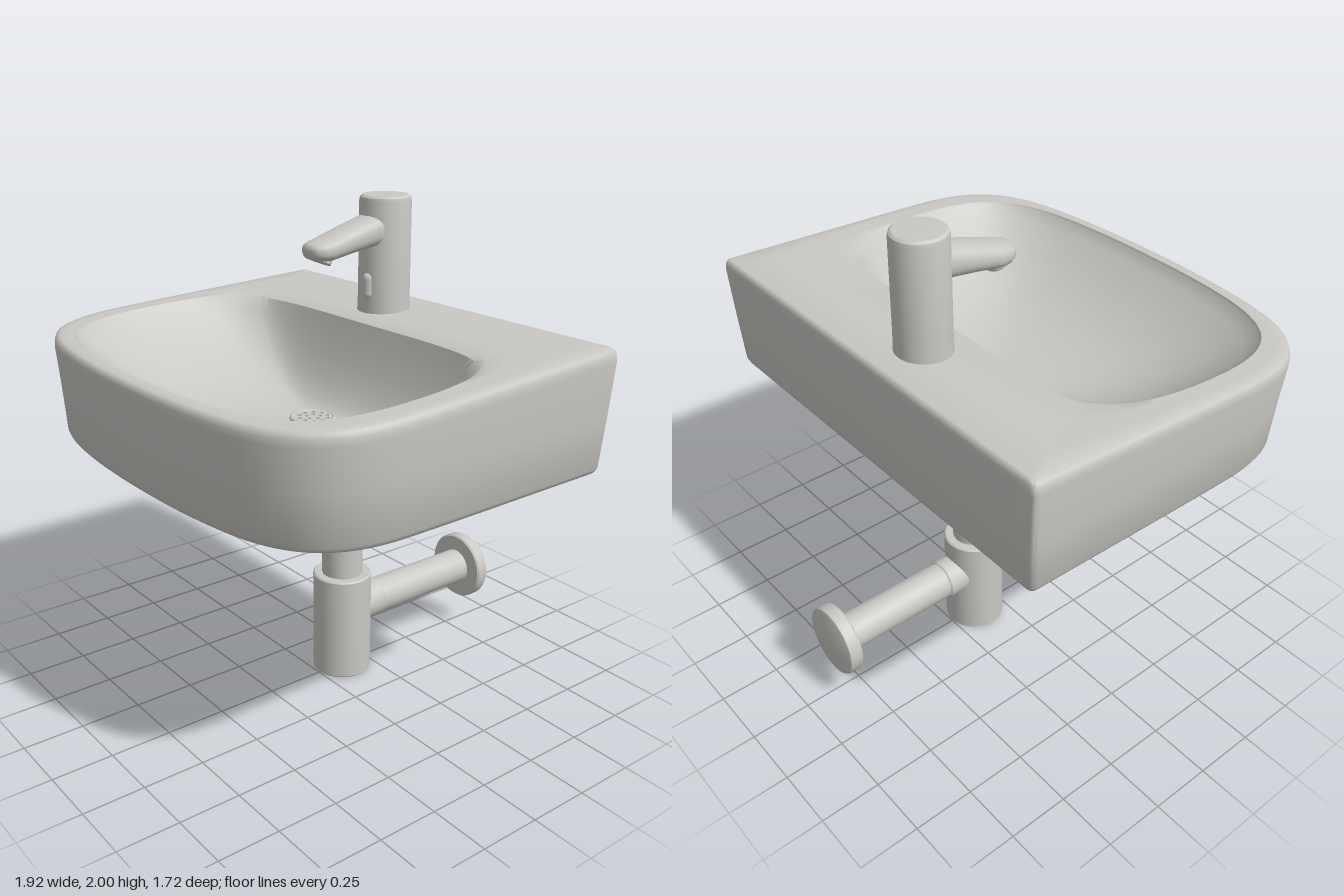
import * as THREE from 'three';
import { toCreasedNormals } from 'three/addons/utils/BufferGeometryUtils.js';

const ceramic = new THREE.MeshStandardMaterial({ color: 0xc9c8c4 });
ceramic.name = 'light grey ceramic';

const V = (x, y, z) => new THREE.Vector3(x, y, z);

function part(name, geometry, x = 0, y = 0, z = 0) {
  const mesh = new THREE.Mesh(geometry, ceramic);
  mesh.name = name;
  mesh.position.set(x, y, z);
  return mesh;
}

// Skin a list of closed rings that all have the same number of points
function loft(rings, crease) {
  const n = rings[0].length, pos = [], index = [];
  rings.forEach(r => r.forEach(p => pos.push(p.x, p.y, p.z)));
  for (let j = 0; j < rings.length - 1; j++) {
    for (let i = 0; i < n; i++) {
      const a = j * n + i, b = j * n + (i + 1) % n, c = a + n, d = b + n;
      index.push(a, c, b, b, c, d);
    }
  }
  const g = new THREE.BufferGeometry();
  g.setAttribute('position', new THREE.Float32BufferAttribute(pos, 3));
  g.setIndex(index);
  return toCreasedNormals(g, crease);
}

// Solid of revolution from [radius, height] pairs, closed on the axis
function turned(profile) {
  const pts = profile.map(([r, y]) => new THREE.Vector2(r, y));
  return toCreasedNormals(new THREE.LatheGeometry(pts, 40), 0.6);
}

// Cylinder standing on y0 with softened edges
function pipe(r, y0, y1, bevel = 0.006) {
  return turned([[0, y0], [r - bevel, y0], [r, y0 + bevel], [r, y1 - bevel], [r - bevel, y1], [0, y1]]);
}

// Mirrored plan outline from cubic segments (x, z) of its +x half, running back to front
const STEPS = [12, 4, 16, 16, 14];
function outline(segments) {
  const half = [];
  segments.forEach((s, k) => {
    const p = s.map(([x, z]) => V(x, 0, z));
    const curve = new THREE.CubicBezierCurve3(...p);
    for (let i = 0; i < STEPS[k]; i++) half.push(curve.getPoint(i / STEPS[k]));
    if (k === segments.length - 1) half.push(p[3]);
  });
  const mirrored = half.slice(1, -1).reverse().map(p => V(-p.x, 0, p.z));
  return half.concat(mirrored);
}

function basin() {
  const outer = outline([
    [[0, -0.635], [0.3, -0.635], [0.6, -0.635], [0.92, -0.635]],
    [[0.92, -0.635], [0.935, -0.635], [0.943, -0.627], [0.944, -0.61]],
    [[0.944, -0.61], [0.95, -0.25], [0.96, 0.1], [0.96, 0.36]],
    [[0.96, 0.36], [0.96, 0.65], [0.83, 0.775], [0.55, 0.82]],
    [[0.55, 0.82], [0.36, 0.85], [0.18, 0.857], [0, 0.857]],
  ]);
  const bowl = outline([
    [[0, -0.23], [0.3, -0.23], [0.56, -0.24], [0.66, -0.185]],
    [[0.66, -0.185], [0.67, -0.18], [0.68, -0.172], [0.69, -0.165]],
    [[0.69, -0.165], [0.81, -0.07], [0.845, 0.08], [0.84, 0.34]],
    [[0.84, 0.34], [0.83, 0.61], [0.73, 0.71], [0.5, 0.76]],
    [[0.5, 0.76], [0.33, 0.79], [0.16, 0.795], [0, 0.795]],
  ]);
  const top = z => 1.513 - 0.051 * z;
  const floor = 1.16, drain = V(0, 0, 0.03);
  const shrink = (s, y) => outer.map(p => V(p.x * s, y(p.z), 0.1 + (p.z - 0.1) * s));

  // Underside and outer wall
  const rings = [
    shrink(0, () => 1.05), shrink(0.2, () => 1.055), shrink(0.6, () => 1.06),
    shrink(0.945, () => 1.06), shrink(0.96, () => 1.066), shrink(0.971, () => 1.085),
    shrink(0.986, () => 1.28), shrink(1, z => top(z) - 0.05), shrink(0.999, z => top(z) - 0.025),
    shrink(0.992, z => top(z) - 0.007), shrink(0.978, top),
  ];
  // Deck between the outer edge and the bowl
  const deck = rings[rings.length - 1];
  for (const t of [0.35, 0.7, 0.92]) {
    rings.push(deck.map((p, i) => {
      const q = p.clone().lerp(bowl[i], t);
      return q.setY(top(q.z));
    }));
  }
  // Bowl curving down to the drain
  const bowlRing = t => bowl.map(p => {
    const q = drain.clone().lerp(p, t), rim = top(p.z) - 0.012;
    return q.setY(floor + (rim - floor) * Math.pow(t, 2.6));
  });
  for (let k = 20; k >= 0; k--) rings.push(bowlRing(k / 20));
  return loft(rings, 0.75);
}

function drainStrainer() {
  const group = new THREE.Group();
  group.name = 'drain';
  const disc = new THREE.Shape().absarc(0, 0, 0.085, 0, Math.PI * 2, false);
  const hole = (r, a, size) => disc.holes.push(
    new THREE.Path().absarc(r * Math.cos(a), r * Math.sin(a), size, 0, Math.PI * 2, true));
  for (let i = 0; i < 10; i++) hole(0.058, i * Math.PI / 5, 0.01);
  for (let i = 0; i < 5; i++) hole(0.028, i * Math.PI * 0.4, 0.009);
  const plate = new THREE.ExtrudeGeometry(disc, { depth: 0.012, bevelEnabled: false, curveSegments: 16 });
  plate.rotateX(-Math.PI / 2);
  group.add(part('strainer', plate, 0, 1.163, 0.03));
  const rim = new THREE.TorusGeometry(0.085, 0.009, 8, 32).rotateX(Math.PI / 2);
  group.add(part('drainRim', rim, 0, 1.17, 0.03));
  return group;
}

function faucet() {
  const group = new THREE.Group();
  group.name = 'faucet';
  group.position.set(-0.105, 0, -0.418);
  group.add(part('faucetBody', turned([
    [0, 1.5], [0.11, 1.5], [0.107, 1.6], [0.106, 1.975], [0.103, 1.99], [0.093, 1.998], [0, 2],
  ])));
  // Spout sections: z, centre height, half width, half height
  const sections = [
    [0, 1.875, 0, 0], [0, 1.875, 0.08, 0.07], [0.1, 1.86, 0.08, 0.063], [0.2, 1.838, 0.079, 0.055],
    [0.31, 1.811, 0.077, 0.047], [0.35, 1.806, 0.07, 0.041], [0.38, 1.807, 0.053, 0.032],
    [0.393, 1.81, 0.034, 0.022], [0.398, 1.813, 0, 0],
  ];
  const spout = sections.map(([z, y, w, h]) => Array.from({ length: 28 }, (_, i) => {
    const a = i / 28 * Math.PI * 2, c = Math.cos(a), s = -Math.sin(a);
    const sq = v => Math.sign(v) * Math.pow(Math.abs(v), 0.8);
    return V(w * sq(c), y + h * sq(s), z);
  }));
  group.add(part('spout', loft(spout, 0.9)));
  const aerator = part('aerator', pipe(0.048, -0.02, 0.02, 0.004), 0, 1.779, 0.33);
  aerator.rotation.x = -0.4;
  group.add(aerator);
  group.add(part('pullRod', new THREE.CapsuleGeometry(0.025, 0.06, 6, 16), 0.015, 1.64, 0.095));
  return group;
}

function trap() {
  const group = new THREE.Group();
  group.name = 'drainTrap';
  group.position.z = -0.125;
  group.add(part('tailpiece', pipe(0.09, 0.98, 1.08)));
  group.add(part('sleeve', pipe(0.106, 0.61, 1.0)));
  group.add(part('neck', pipe(0.086, 0.43, 0.63)));
  group.add(part('trapBody', pipe(0.124, 0, 0.452)));
  // Waste pipe running back to the wall
  const waste = new THREE.Group();
  waste.name = 'wastePipe';
  waste.position.y = 0.277;
  waste.rotation.x = -Math.PI / 2;
  waste.add(part('collar', pipe(0.083, 0.08, 0.19, 0.012)));
  waste.add(part('outletPipe', pipe(0.077, 0.17, 0.69)));
  waste.add(part('wallFlange', turned([
    [0, 0.677], [0.142, 0.677], [0.148, 0.685], [0.148, 0.722], [0.144, 0.733], [0.13, 0.738], [0, 0.74],
  ])));
  group.add(waste);
  return group;
}

export function createModel() {
  const model = new THREE.Group();
  model.name = 'washbasin';
  model.add(part('basin', basin()), drainStrainer(), faucet(), trap());
  return model;
}
